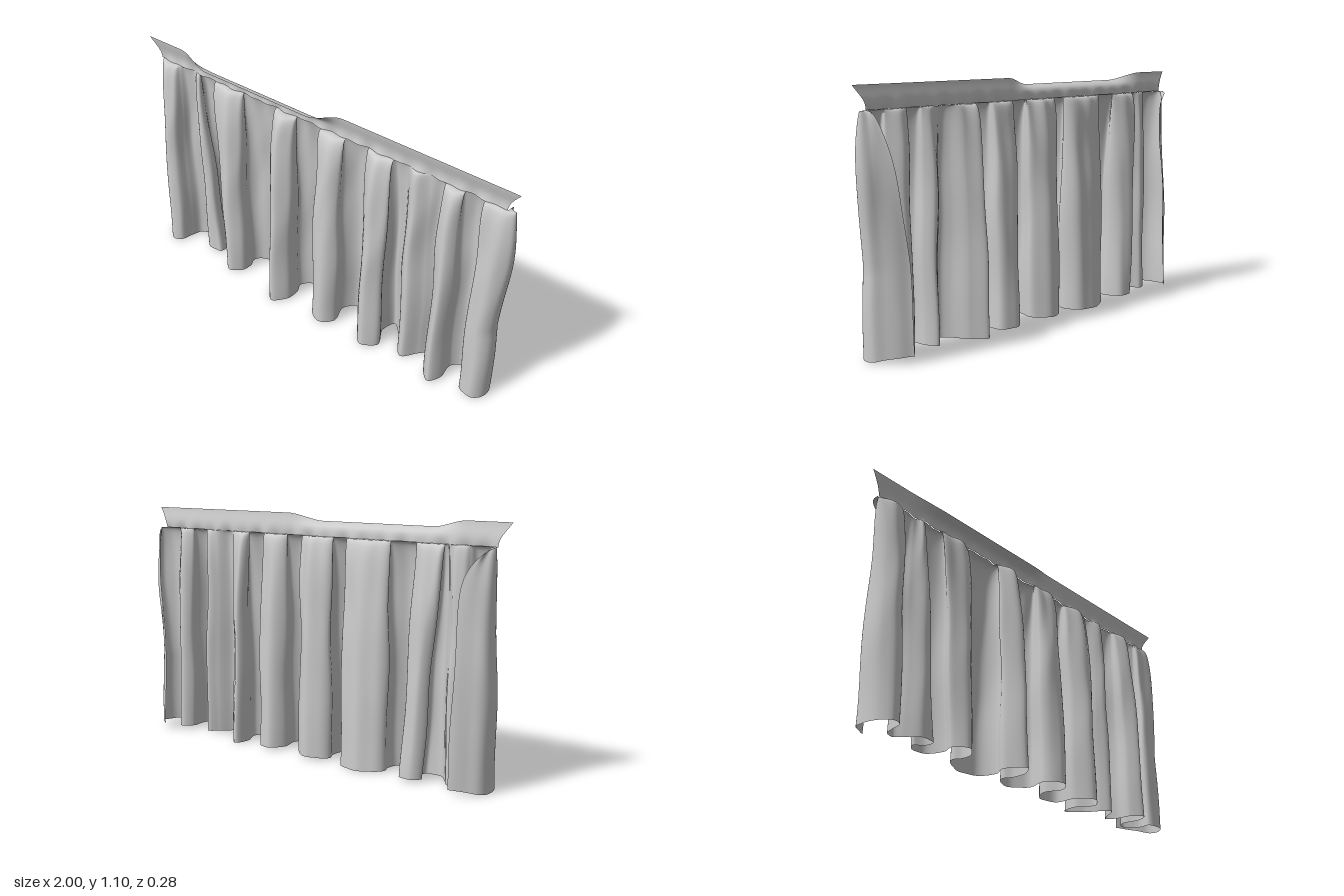
import * as THREE from 'three';
import { ParametricGeometry } from 'three/addons/geometries/ParametricGeometry.js';

const { lerp, smoothstep, clamp } = THREE.MathUtils;

// Hem of the cloth seen from above: x, z pairs from the right end to the left end
const HEM = [
  -0.825, -0.14, -0.88, -0.105, -0.93, -0.05, -0.94, 0.01, -0.925, 0.065, -0.885, 0.095,
  -0.84, 0.085, -0.82, 0.02, -0.80, -0.03, -0.76, -0.04, -0.725, 0, -0.67, 0.035, -0.61, 0.035,
  -0.605, -0.01, -0.64, -0.05, -0.60, -0.09, -0.545, -0.075, -0.515, 0, -0.53, 0.06,
  -0.48, 0.10, -0.43, 0.075, -0.42, 0.02, -0.435, -0.03, -0.37, -0.09, -0.29, -0.10,
  -0.22, -0.06, -0.20, 0, -0.23, 0.07, -0.17, 0.137, -0.115, 0.09, -0.11, 0.02, -0.13, -0.03,
  -0.07, -0.085, 0, -0.085, 0.05, -0.03, 0.03, 0.06, 0.09, 0.125, 0.16, 0.07, 0.14, -0.03,
  0.20, -0.09, 0.27, -0.05, 0.28, 0.05, 0.35, 0.105, 0.41, 0.06, 0.37, -0.03, 0.39, -0.10,
  0.45, -0.05, 0.50, 0.03, 0.54, 0.05, 0.59, 0, 0.63, -0.045, 0.66, 0, 0.67, 0.07,
  0.72, 0.11, 0.755, 0.06, 0.75, -0.03, 0.80, -0.06, 0.85, -0.01, 0.85, 0.05, 0.91, 0.075,
  0.955, 0.04, 0.96, -0.02, 0.92, -0.07, 0.84, -0.14,
];

// Small gathers along the seam between cloth and heading
const gather = (x) => 0.004 * Math.sin(x * 62) + 0.003 * Math.sin(x * 37 + 1);

function clothGeometry() {
  const points = [];
  for (let i = 0; i < HEM.length; i += 2) points.push(new THREE.Vector3(HEM[i], 0, HEM[i + 1]));
  const hem = new THREE.CatmullRomCurve3(points, false, 'centripetal');
  const p = new THREE.Vector3();

  return new ParametricGeometry((u, v, target) => {
    hem.getPoint(clamp(u, 0, 1), p);
    const drop = (1 - v) ** 2; // rows crowd together under the seam
    const depth = drop ** 0.26; // folds open quickly, then hang
    const edge = Math.min(u, 1 - u);
    const flap = 1 - smoothstep(edge, 0, 0.045);
    const hemY = 0.008 + 0.006 * Math.sin(p.x * 9 + 1) + 0.02 * flap;

    // folds lean and wander a little on their way up
    let x = p.x - 0.09 * (1 - drop) * Math.exp(-(((p.x + 0.59) / 0.095) ** 2));
    x += 0.014 * Math.sin(drop * 8 + p.x * 14) * (1 - drop) * drop * 2;
    // the left flap tapers all the way up, the right one only just under the seam
    const taper = (1 - drop) ** (p.x > 0 ? 3 : 14);
    x = lerp(x, Math.sign(p.x) * 0.95, flap * taper);
    // left end bulges outwards near the top
    x += 0.03 * smoothstep(p.x, 0.85, 0.96) * Math.sin(Math.PI * Math.min(1, drop * 1.3 + 0.2));

    const crease = 0.006 * Math.sin(p.x * 75 + drop * 6) * Math.exp(-drop * 9);
    const dimple = 0.004 * Math.sin(drop * 17 + p.x * 23) * Math.sin(p.x * 31) * (1 - drop);
    target.set(x, lerp(1.0, hemY, drop), p.z * depth + gather(x) + (crease + dimple) * depth);
  }, 500, 32);
}

// Upright and flopped cross-sections of the heading, as z, y control points
const UPRIGHT = [[0.004, 1], [-0.004, 1.04], [0.01, 1.06], [0.015, 1.098]];
const FLOPPED = [[0.004, 1], [0.0, 1.05], [0.02, 1.053], [0.057, 1.065]];

function headingGeometry() {
  return new ParametricGeometry((u, v, target) => {
    const s = u * 2 - 1;
    const x = s * (0.945 + 0.055 * v ** 1.6);
    const flop = smoothstep(x, -0.8, -0.6) * (1 - smoothstep(x, -0.02, 0.15));
    const w = 1 - v;
    const weights = [w ** 3, 3 * w * w * v, 3 * w * v * v, v ** 3];
    let y = 0, z = 0;
    weights.forEach((k, i) => {
      z += k * lerp(UPRIGHT[i][0], FLOPPED[i][0], flop);
      y += k * lerp(UPRIGHT[i][1], FLOPPED[i][1], flop);
    });
    target.set(x, y, z + gather(x) * w ** 4);
  }, 160, 14);
}

export function createModel() {
  const group = new THREE.Group();
  group.name = 'curtain';
  const fabric = new THREE.MeshStandardMaterial({ color: 0xcccccc, side: THREE.DoubleSide });
  const parts = { pleatedCloth: clothGeometry(), headingStrip: headingGeometry() };
  for (const [name, geometry] of Object.entries(parts)) {
    const mesh = new THREE.Mesh(geometry, fabric);
    mesh.name = name;
    group.add(mesh);
  }
  return group;
}
